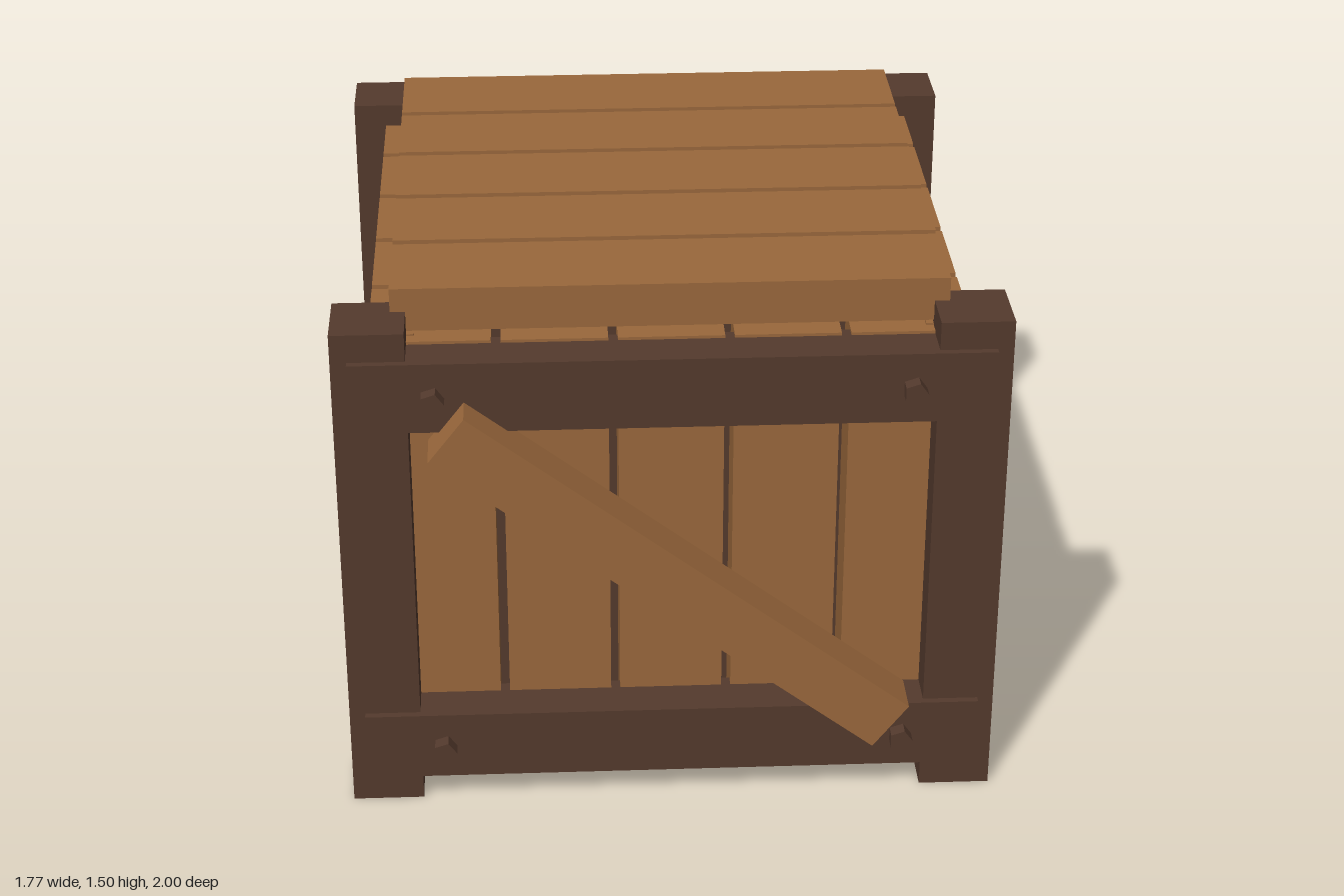
import * as THREE from 'three';

const wood = new THREE.MeshStandardMaterial({ color: 0x9a683c, flatShading: true });
wood.name = 'plank wood';
const dark = new THREE.MeshStandardMaterial({ color: 0x543a2d, flatShading: true });
dark.name = 'dark frame wood';

// Box given by its lower and upper bounds on each axis
function box(name, material, [x0, x1], [y0, y1], [z0, z1]) {
  const mesh = new THREE.Mesh(new THREE.BoxGeometry(x1 - x0, y1 - y0, z1 - z0), material);
  mesh.name = name;
  mesh.position.set((x0 + x1) / 2, (y0 + y1) / 2, (z0 + z1) / 2);
  return mesh;
}

// Bounds on the negative or positive side of an axis
const side = (s, a, b) => (s > 0 ? [a, b] : [-b, -a]);

export function createModel() {
  const crate = new THREE.Group();
  crate.name = 'crate';

  // Inner body, seen through the gaps
  crate.add(box('innerBody', dark, [-0.68, 0.68], [0.05, 1.385], [-0.64, 0.64]));

  // Five planks per wall and on the lid
  for (let i = -2; i <= 2; i++) {
    const span = [i * 0.305 - 0.14, i * 0.305 + 0.14];
    crate.add(box('lidPlank', wood, [-0.73, 0.73], [1.375, 1.495], span));
    for (const s of [-1, 1]) {
      crate.add(box('sidePlank', wood, side(s, 0.67, 0.79), [0.075, 1.365], span));
      crate.add(box('endPlank', wood, span, [0.075, 1.36], side(s, 0.63, 0.785)));
    }
  }

  for (const s of [-1, 1]) {
    // Corner posts
    for (const sx of [-1, 1]) {
      crate.add(box('cornerPost', dark, side(sx, 0.69, 0.883), [0, 1.43], side(s, 0.69, 0.883)));
    }

    // Rails with five-sided bolts
    for (const [y0, y1] of [[0.083, 0.28], [1.155, 1.352]]) {
      crate.add(box('rail', dark, [-0.84, 0.84], [y0, y1], side(s, 0.75, 0.903)));
      for (const x of [-0.625, 0.625]) {
        const bolt = new THREE.Mesh(new THREE.CylinderGeometry(0.033, 0.033, 0.07, 5), dark);
        bolt.name = 'bolt';
        bolt.geometry.rotateX(Math.PI / 2).rotateZ(Math.PI / 2);
        bolt.position.set(x, (y0 + y1) / 2, s * 0.907);
        crate.add(bolt);
      }
    }

    // Diagonal brace, high on the -x side at both ends
    const brace = new THREE.Mesh(new THREE.BoxGeometry(1.487, 0.157, 0.13), wood);
    brace.name = 'diagonalBrace';
    brace.position.set(-0.002, 0.725, s * 0.935);
    brace.rotation.z = -0.657;
    crate.add(brace);
  }

  return crate;
}
